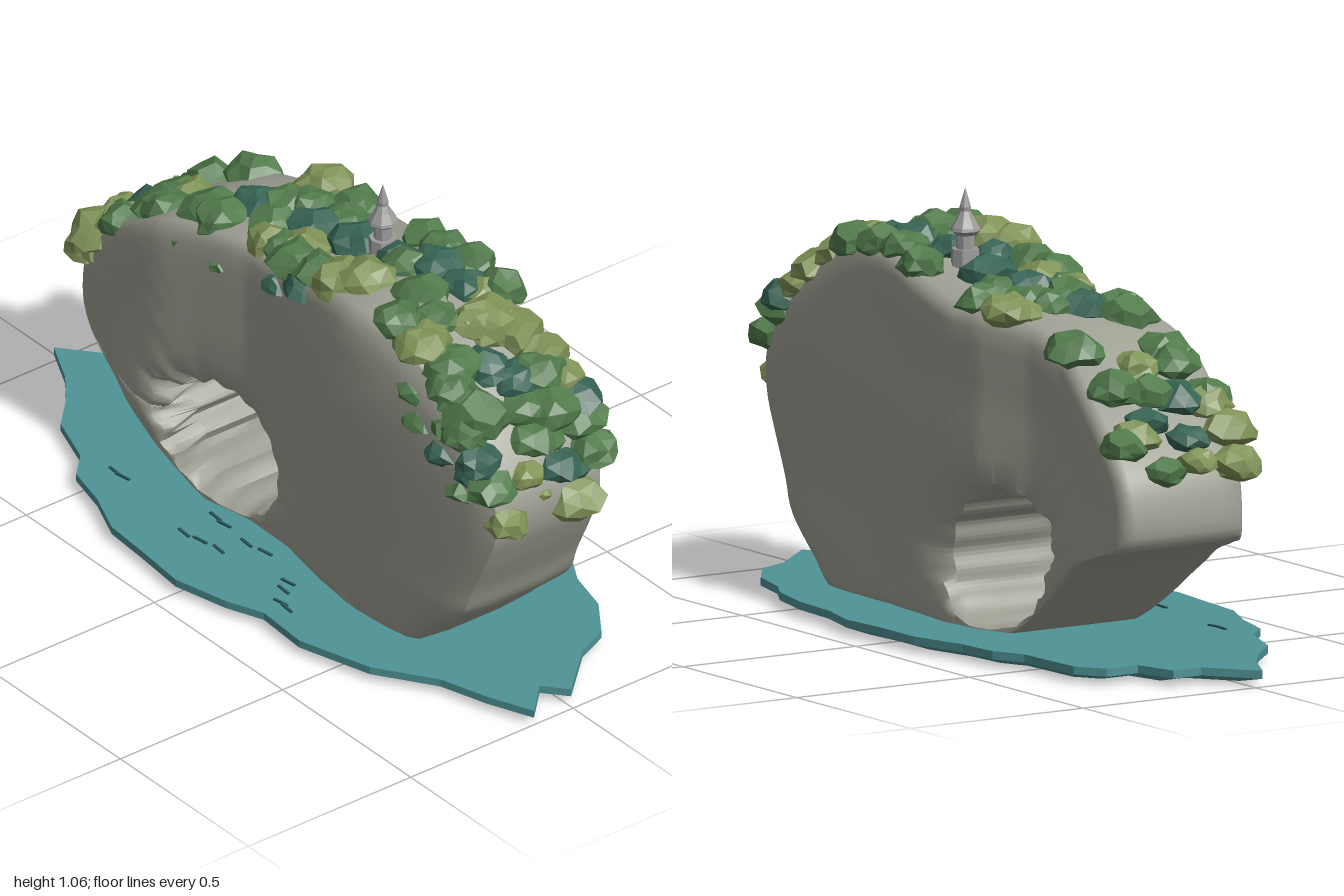
import * as THREE from 'three';
import { toCreasedNormals } from 'three/addons/utils/BufferGeometryUtils.js';

const mat = (name, color, flatShading = false) => {
  const m = new THREE.MeshStandardMaterial({ color, flatShading });
  m.name = name;
  return m;
};
const pairs = (a) => {
  const out = [];
  for (let i = 0; i < a.length; i += 2) out.push([a[i], a[i + 1]]);
  return out;
};
const lerpTable = (t, x) => {
  if (x <= t[0][0]) return t[0][1];
  for (let i = 1; i < t.length; i++) {
    if (x <= t[i][0]) {
      const k = (x - t[i - 1][0]) / (t[i][0] - t[i - 1][0]);
      return t[i - 1][1] + k * (t[i][1] - t[i - 1][1]);
    }
  }
  return t[t.length - 1][1];
};
let seed = 7;
const rnd = () => (seed = (seed * 16807) % 2147483647) / 2147483647;
const bump = (x, y, s) => Math.exp(-(x * x + y * y) / (s * s));

// Ridge line of the rock, left to right, then the lower outline
const ridge = pairs([-0.77, 0.47, -0.7, 0.56, -0.55, 0.68, -0.38, 0.78, -0.2, 0.82, 0, 0.83, 0.15, 0.86,
  0.3, 0.9, 0.42, 0.9, 0.55, 0.86, 0.7, 0.77, 0.81, 0.66, 0.87, 0.55]);
const underside = pairs([0.87, 0.47, 0.84, 0.39, 0.78, 0.27, 0.75, 0.2, 0.63, 0.09, 0.56, 0.03, 0.3, 0.025, 0, 0.025,
  -0.22, 0.03, -0.32, 0.09, -0.42, 0.17, -0.55, 0.25, -0.7, 0.3, -0.78, 0.33]);
const HOLE = [-0.19, 0.21];
// Arch radius by angle in degrees
const holeRadius = pairs([-180, 0.175, -150, 0.165, -120, 0.162, -90, 0.16, -60, 0.178, -30, 0.19, 0, 0.19,
  30, 0.178, 60, 0.168, 90, 0.168, 120, 0.175, 150, 0.2, 180, 0.175]);

// Front and back faces: broad buttresses and hollows along x
const frontTable = pairs([-0.78, 0.115, -0.65, 0.165, -0.48, 0.195, -0.38, 0.195, -0.25, 0.168, -0.1, 0.14, 0.05, 0.142,
  0.2, 0.172, 0.35, 0.19, 0.5, 0.18, 0.7, 0.165, 0.88, 0.155]);
const backTable = pairs([-0.78, 0.25, -0.62, 0.225, -0.42, 0.185, -0.3, 0.2, -0.15, 0.25, -0.03, 0.262, 0.1, 0.245,
  0.25, 0.23, 0.5, 0.225, 0.88, 0.222]);
const frontZ = (x, y) => lerpTable(frontTable, x) + 0.018 * bump(x - 0.35, y - 0.68, 0.2)
  + 0.014 * bump(x + 0.45, y - 0.25, 0.15) - 0.015 * Math.max(0, 1 - y / 0.2);
const backZ = (x, y) => -lerpTable(backTable, x) - 0.012 * bump(x - 0.2, y - 0.18, 0.15)
  + 0.006 * Math.sin(12 * y - 4 * x);

// Pierced rock: a closed cross-section swept round the arch
function rockGeometry() {
  const N = 180;
  const outline = [...ridge, ...underside].reverse().map(([x, y]) => new THREE.Vector3(x, y, 0));
  const outer = new THREE.CatmullRomCurve3(outline, true, 'centripetal').getSpacedPoints(N).slice(0, N);
  // [radial position, depth factor, side]
  const face = [[0, 0.84], [0.06, 0.96], [0.2, 1], [0.4, 1], [0.6, 1], [0.8, 1], [0.9, 0.98], [0.96, 0.94], [0.995, 0.85]];
  const section = [...face.map(([t, d]) => [t, d, 1]), [1.01, 0.4, 1], [1.01, 0.4, -1],
    ...face.slice().reverse().map(([t, d]) => [t, d, -1]), [0, 0.4, -1], [0, 0, 1], [0, 0.4, 1]];
  const M = section.length, pos = [], idx = [];
  outer.forEach((p) => {
    const a = Math.atan2(p.y - HOLE[1], p.x - HOLE[0]);
    // stepped ledges round the arch, strongest on its left wall
    const ledge = Math.cos(a) < 0 ? 0.004 - 0.013 * Math.cos(a) : 0.004;
    section.forEach(([t, d, side], j) => {
      const r = lerpTable(holeRadius, a * 180 / Math.PI)
        + (1 - t) ** 4 * ledge * Math.sin(15 * a + (t === 0 ? j * 0.12 : 0));
      const hx = HOLE[0] + r * Math.cos(a), hy = HOLE[1] + r * Math.sin(a);
      const x = hx + (p.x - hx) * t, y = hy + (p.y - hy) * t;
      pos.push(x, y, d * (side > 0 ? frontZ(x, y) : backZ(x, y)));
    });
  });
  for (let i = 0; i < N; i++) for (let j = 0; j < M; j++) {
    const i2 = (i + 1) % N, j2 = (j + 1) % M;
    const a = i * M + j, b = i * M + j2, c = i2 * M + j2, d = i2 * M + j;
    idx.push(a, b, c, a, c, d);
  }
  const g = new THREE.BufferGeometry();
  g.setAttribute('position', new THREE.Float32BufferAttribute(pos, 3));
  g.setIndex(idx);
  return toCreasedNormals(g, 0.8);
}

// Water slab with a ragged shore and tapered underside
function waterGeometry() {
  const shore = pairs([-1, 0.02, -0.88, -0.08, -0.88, -0.16, -0.77, -0.19, -0.77, -0.28, -0.7, -0.33, -0.5, -0.34,
    -0.42, -0.38, -0.3, -0.39, -0.15, -0.43, 0, -0.43, 0.13, -0.44, 0.25, -0.41, 0.4, -0.4, 0.53, -0.37, 0.6, -0.33,
    0.72, -0.3, 0.82, -0.23, 0.86, -0.14, 0.98, -0.01, 0.92, 0.04, 1, 0.12, 0.88, 0.17, 0.75, 0.21, 0.6, 0.31,
    0.4, 0.37, 0.25, 0.36, 0.15, 0.4, 0, 0.435, -0.15, 0.42, -0.28, 0.41, -0.4, 0.36, -0.52, 0.33, -0.58, 0.27,
    -0.72, 0.22, -0.8, 0.14, -0.88, 0.08]);
  const g = new THREE.ExtrudeGeometry(new THREE.Shape(shore.map(([x, z]) => new THREE.Vector2(x, -z))),
    { depth: 0.04, steps: 2, bevelEnabled: false }).rotateX(-Math.PI / 2);
  const p = g.attributes.position;
  for (let i = 0; i < p.count; i++) {
    if (p.getY(i) < 0.001) p.setXYZ(i, p.getX(i) * 0.9, 0, p.getZ(i) * 0.87);
  }
  g.computeVertexNormals();
  return g;
}

// Faceted shrub: jittered ball with a flattened base
function shrubGeometry(k) {
  const g = new THREE.IcosahedronGeometry(1, 1);
  const p = g.attributes.position, v = new THREE.Vector3();
  for (let i = 0; i < p.count; i++) {
    v.fromBufferAttribute(p, i);
    v.multiplyScalar(1 + 0.14 * Math.sin(5.1 * v.x + 7.3 * v.y * k + 6.7 * v.z + k * 2.1));
    p.setXYZ(i, v.x, v.y < 0 ? v.y * 0.55 : v.y, v.z);
  }
  g.computeVertexNormals();
  return g;
}

export function createModel() {
  const model = new THREE.Group();
  const rock = mat('rock grey', 0x9e9f93), water = mat('water teal', 0x4f9396, true);
  const ripple = mat('ripple dark teal', 0x2c5457), stone = mat('pagoda grey', 0x9c9b9a, true);
  const leaf = { green: mat('leaf green', 0x517a4b, true), dark: mat('leaf dark green', 0x376454, true),
    olive: mat('leaf olive', 0x809357, true) };
  const add = (parent, name, geo, m, x = 0, y = 0, z = 0) => {
    const mesh = new THREE.Mesh(geo, m);
    mesh.name = name;
    mesh.position.set(x, y, z);
    parent.add(mesh);
    return mesh;
  };

  add(model, 'archRock', rockGeometry(), rock);
  add(model, 'water', waterGeometry(), water);

  // Ripples on the water
  const ripples = pairs([-0.47, 0.25, -0.44, 0.25, -0.16, 0.185, -0.12, 0.19, -0.02, 0.2, 0.04, 0.19, -0.15, 0.29,
    -0.1, 0.28, -0.04, 0.27, 0.18, 0.23, 0.2, 0.26, 0.24, 0.3, 0.27, 0.305]);
  const rippleGeo = new THREE.BoxGeometry(0.045, 0.004, 0.007);
  ripples.forEach(([x, z], i) => {
    add(model, 'ripple', rippleGeo, ripple, x, 0.042, z).rotation.y = i % 2 ? 0.15 : -0.08;
  });

  // Shrubs: x, z positions along the ridge, per colour
  const shrubs = new THREE.Group();
  shrubs.name = 'shrubs';
  model.add(shrubs);
  const shapes = [0.7, 1.1, 1.6, 2.3].map(shrubGeometry);
  const shrub = (colour, x, y, z, r) => {
    const m = add(shrubs, colour + 'Shrub', shapes[Math.floor(rnd() * 4)], leaf[colour], x, y, z);
    m.scale.set(r, r * 0.8, r * 0.95);
    m.rotation.y = rnd() * 6.28;
  };
  const ridgeShrubs = {
    green: [-0.75, -0.1, -0.7, -0.18, -0.6, 0.12, -0.58, -0.03, -0.5, 0.08, -0.56, -0.13, -0.46, 0.09, -0.43, -0.15,
      -0.31, 0.08, -0.26, 0.09, -0.2, -0.06, -0.08, -0.19, -0.15, -0.1, -0.13, 0.03, -0.03, 0.07, -0.03, -0.1,
      0.05, 0.1, 0.2, -0.18, 0.14, 0.1, 0.3, -0.16, 0.38, -0.17, 0.3, -0.04, 0.43, 0.02, 0.5, 0.04, 0.62, 0.07,
      0.69, 0.11, 0.75, -0.04, 0.8, -0.17],
    dark: [-0.7, 0, -0.65, -0.09, -0.6, 0.03, -0.24, 0, -0.05, -0.03, 0.09, -0.06, 0.25, -0.06, 0.2, 0.03, 0.35, -0.1,
      0.45, -0.1, 0.65, 0, 0.77, -0.1],
    olive: [-0.75, 0.1, -0.69, 0.12, -0.62, 0.1, -0.68, -0.14, -0.5, -0.02, -0.21, -0.19, -0.08, 0.08, 0.02, 0.05,
      0.24, 0.11, 0.29, 0.07, 0.49, -0.13, 0.55, -0.05, 0.6, -0.13, 0.67, -0.16, 0.55, 0.11, 0.73, -0.17],
  };
  for (const colour in ridgeShrubs) {
    pairs(ridgeShrubs[colour]).forEach(([x, z]) =>
      shrub(colour, x, lerpTable(ridge, x) - 0.003, z, 0.057 + rnd() * 0.022));
  }

  // Shrubs hanging down the right-hand flank: z, y, radius
  const flank = pairs([0.47, 0.87, 0.6, 0.85, 0.7, 0.78, 0.8, 0.67, 0.9, 0.45]);
  const flankShrubs = {
    green: [[0.13, 0.6, 0.065], [-0.17, 0.6, 0.07], [0.09, 0.74, 0.09], [-0.03, 0.66, 0.07], [-0.1, 0.7, 0.08],
      [-0.12, 0.77, 0.075], [0.12, 0.8, 0.06], [0.15, 0.72, 0.06], [-0.17, 0.88, 0.07], [0.12, 0.89, 0.065]],
    dark: [[0.14, 0.66, 0.06], [-0.08, 0.585, 0.065], [-0.18, 0.7, 0.07], [-0.05, 0.77, 0.06]],
    olive: [[0.1, 0.5, 0.06], [-0.11, 0.49, 0.08], [0.03, 0.6, 0.05], [-0.01, 0.54, 0.03], [-0.08, 0.85, 0.085]],
  };
  for (const colour in flankShrubs) {
    flankShrubs[colour].forEach(([z, y, r]) => shrub(colour, lerpTable(flank, y), y, z, r));
  }
  // Small tufts clinging to the front and left end
  [['green', -0.33, 0.735, 0.15, 0.035], ['green', -0.2, 0.725, 0.135, 0.035], ['green', -0.24, 0.74, 0.14, 0.025],
    ['dark', 0.01, 0.765, 0.12, 0.045], ['dark', 0.13, 0.82, 0.13, 0.06], ['green', 0.08, 0.79, 0.12, 0.04],
    ['green', 0.6, 0.68, 0.14, 0.055], ['dark', 0.68, 0.63, 0.13, 0.06], ['green', 0.75, 0.55, 0.13, 0.055],
    ['green', 0.57, 0.75, 0.14, 0.055], ['green', 0.7, 0.7, 0.12, 0.065], ['dark', 0.78, 0.6, 0.12, 0.055],
    ['olive', -0.7, 0.5, 0.11, 0.05], ['olive', -0.79, 0.52, -0.03, 0.05]].forEach((s) => shrub(...s));

  // Pagoda on the summit
  const pagoda = new THREE.Group();
  pagoda.name = 'pagoda';
  pagoda.position.set(0.17, 0, -0.07);
  model.add(pagoda);
  const lathe = (pts) => new THREE.LatheGeometry(pairs(pts).map(([x, y]) => new THREE.Vector2(x, y)), 8);
  add(pagoda, 'pagodaBase', new THREE.CylinderGeometry(0.034, 0.038, 0.07, 8), stone, 0, 0.875, 0);
  add(pagoda, 'pagodaBody', new THREE.CylinderGeometry(0.023, 0.023, 0.05, 8), stone, 0, 0.932, 0);
  add(pagoda, 'pagodaRoof', lathe([0, 0.943, 0.024, 0.943, 0.038, 0.954, 0.036, 0.962, 0.022, 0.985, 0.013, 1.002,
    0.014, 1.012, 0.006, 1.04, 0, 1.06]), stone);
  return model;
}
